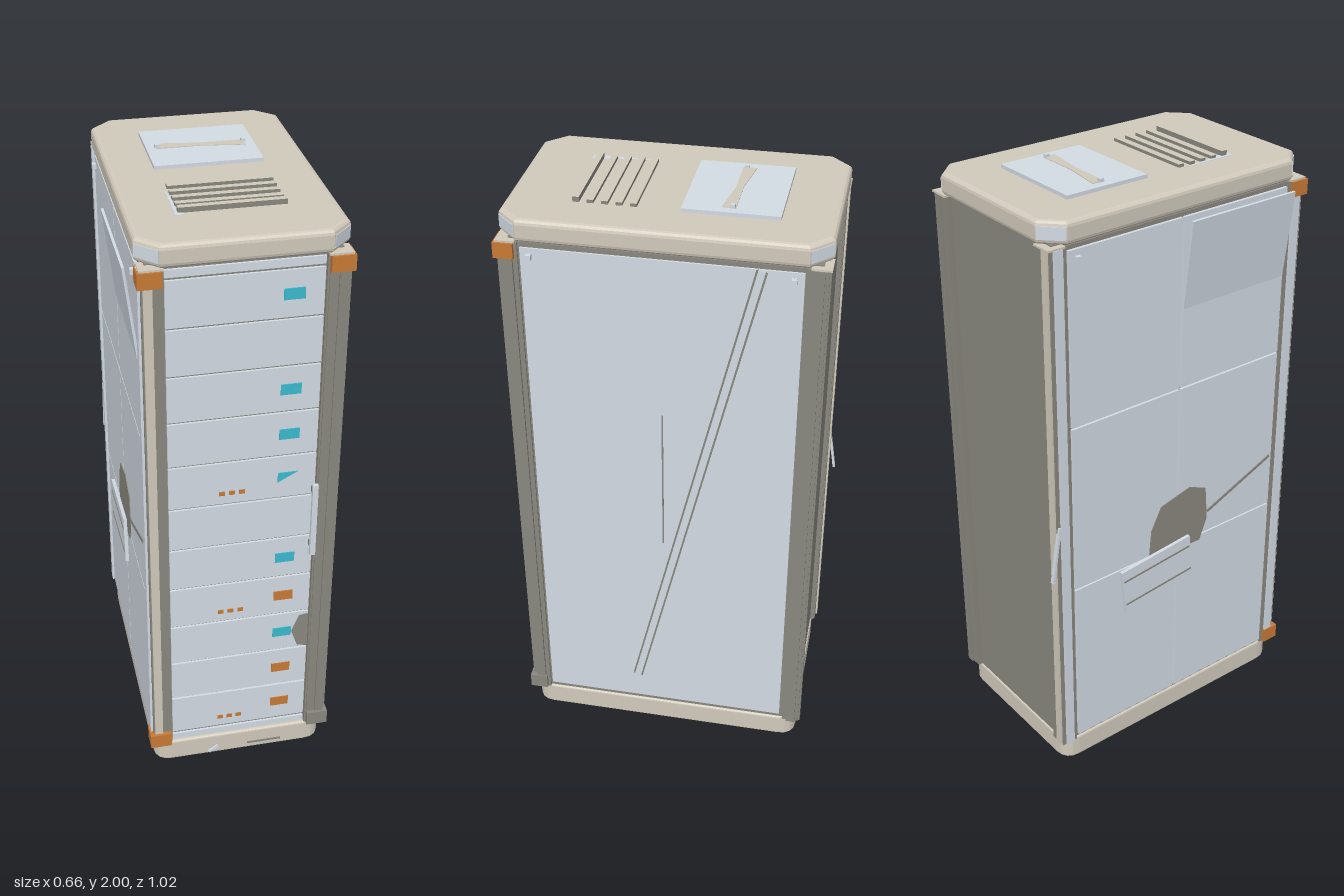
import * as THREE from 'three';

const mat = (name, hex) => {
  const m = new THREE.MeshStandardMaterial({ color: hex });
  m.name = name;
  return m;
};

export function createModel() {
  const beige = mat('warm beige', 0xd1cabc);
  const blue = mat('pale blue grey', 0xd3dbe4);
  const taupe = mat('dark taupe', 0x8a887f);
  const orange = mat('burnt orange', 0xc87a35);
  const cyan = mat('cyan', 0x3cbbd1);

  const model = new THREE.Group();
  model.name = 'serverCabinet';

  const add = (name, geo, material, parent = model) => {
    const m = new THREE.Mesh(geo, material);
    m.name = name;
    parent.add(m);
    return m;
  };
  // Box given by its limits on each axis
  const box = (name, material, [x0, x1], [y0, y1], [z0, z1], parent) => {
    const m = add(name, new THREE.BoxGeometry(x1 - x0, y1 - y0, z1 - z0), material, parent);
    m.position.set((x0 + x1) / 2, (y0 + y1) / 2, (z0 + z1) / 2);
    return m;
  };
  // Thin plate cut from an outline
  const plate = (name, material, points, depth, parent) => {
    const s = new THREE.Shape(points.map(p => new THREE.Vector2(...p)));
    return add(name, new THREE.ExtrudeGeometry(s, { depth, bevelEnabled: false }), material, parent);
  };
  // Upright slab with cut or rounded corners and bevelled rims
  const slab = (name, material, [x0, x1], [y0, y1], [z0, z1], r, bevel, curveSegments) => {
    const a = (x1 - x0) / 2 - bevel, b = (z1 - z0) / 2 - bevel;
    const s = new THREE.Shape();
    s.moveTo(-a + r, -b);
    s.lineTo(a - r, -b);
    s.quadraticCurveTo(a, -b, a, -b + r);
    s.lineTo(a, b - r);
    s.quadraticCurveTo(a, b, a - r, b);
    s.lineTo(-a + r, b);
    s.quadraticCurveTo(-a, b, -a, b - r);
    s.lineTo(-a, -b + r);
    s.quadraticCurveTo(-a, -b, -a + r, -b);
    const g = new THREE.ExtrudeGeometry(s, {
      depth: y1 - y0 - 2 * bevel, bevelSize: bevel, bevelThickness: bevel, bevelSegments: 3, curveSegments,
    });
    g.rotateX(-Math.PI / 2);
    g.translate((x0 + x1) / 2, y0 + bevel, (z0 + z1) / 2);
    return add(name, g, material);
  };

  // Plinth, core and roof cap
  box('footPlate', beige, [-0.25, 0.27], [0, 0.01], [-0.44, 0.44]);
  slab('plinth', beige, [-0.285, 0.305], [0.006, 0.09], [-0.47, 0.478], 0.05, 0.008, 4);
  slab('roofCap', beige, [-0.3, 0.32], [1.905, 1.977], [-0.49, 0.49], 0.055, 0.016, 1);
  box('core', taupe, [-0.275, 0.295], [0.085, 1.91], [-0.465, 0.455]);
  box('plinthScuff', taupe, [0.04, 0.16], [0.028, 0.036], [0.476, 0.48]);
  box('plinthLatch', blue, [-0.1, -0.06], [0.025, 0.035], [0.476, 0.484]).rotation.z = 0.6;

  // Corner posts: a taupe channel with lighter rails along its faces
  for (const sx of [-1, 1]) for (const sz of [-1, 1]) {
    const post = new THREE.Group();
    post.name = (sz > 0 ? 'front' : 'back') + (sx > 0 ? 'Left' : 'Right') + 'Post';
    model.add(post);
    const X = (a, b) => [0.01 + sx * a, 0.01 + sx * b].sort((p, q) => p - q);
    const Z = (a, b) => [sz * a, sz * b].sort((p, q) => p - q);
    const Y = [0.09, 1.9];
    box('channel', taupe, X(0.24, 0.3), Y, Z(0.425, 0.482), post);
    box('sideRail', sx < 0 ? blue : taupe, X(0.295, 0.308), Y, Z(0.44, 0.47), post);
    box('edgeRail', sx < 0 ? beige : taupe, X(0.268, 0.295), Y, Z(0.478, 0.488), post);
    box('innerRail', taupe, X(0.234, 0.242), Y, Z(0.45, 0.478), post);
    box('postTop', beige, X(0.235, 0.306), [1.9, 1.906], Z(0.43, 0.49), post);
    // Pale guard on the cut corner of the roof cap
    const guard = box('capCornerGuard', blue, [-0.042, 0.042], [1.922, 1.961], [-0.002, 0.002], post);
    guard.position.x = 0.01 + sx * 0.278;
    guard.position.z = sz * 0.458;
    guard.rotation.y = sx * sz * Math.PI / 4;
    if (sz > 0) {
      // Corner brackets
      box('topBracket', orange, X(0.24, 0.312), [1.85, 1.9], Z(0.435, 0.496), post);
      box('bottomBracket', sx < 0 ? orange : taupe, X(0.24, 0.312), [0.092, 0.146], Z(0.435, 0.496), post);
    }
  }
  box('looseFin', blue, [-0.298, -0.284], [0.785, 0.985], [-0.494, -0.486]).rotation.x = 0.15;

  // Front bay: eleven stacked units with seams between them
  const front = new THREE.Group();
  front.name = 'frontBay';
  model.add(front);
  const y0 = 0.13, pitch = 0.1577;
  const lamps = [orange, orange, cyan, orange, cyan, null, null, cyan, cyan, null, cyan];
  box('bayBack', taupe, [-0.228, 0.244], [0.095, 1.9], [0.45, 0.466], front);
  box('bayHeader', blue, [-0.222, 0.24], [1.87, 1.895], [0.46, 0.474], front);
  box('baySill', blue, [-0.222, 0.24], [0.098, 0.122], [0.46, 0.474], front);
  for (let i = 0; i < 11; i++) {
    const y = y0 + i * pitch;
    box('unitFace', blue, [-0.222, 0.24], [y + 0.004, y + pitch - 0.004], [0.46, 0.474], front);
    if (lamps[i])
      box('statusLamp', lamps[i], [0.12, 0.183], [y + 0.061, y + 0.097], [0.472, 0.477], front);
    if (i === 0 || i === 3 || i === 6)
      for (const x of [-0.056, -0.024, 0.008])
        box('indicatorDot', orange, [x - 0.009, x + 0.009], [y + 0.036, y + 0.05], [0.472, 0.477], front);
  }
  // Half-covered lamp and a worn patch on the hinge side
  plate('halfLamp', cyan, [[0.12, 1.138], [0.183, 1.172], [0.12, 1.172]], 0.005, front).position.z = 0.472;
  plate('wornPatch', taupe, [[0.24, 0.45], [0.24, 0.59], [0.21, 0.585], [0.185, 0.52], [0.205, 0.46]], 0.006, front)
    .position.z = 0.472;
  // Door handle
  box('handleGrip', blue, [0.225, 0.243], [0.86, 1.13], [0.495, 0.508], front);
  for (const y of [0.88, 1.09]) box('handleMount', taupe, [0.228, 0.24], [y, y + 0.02], [0.47, 0.497], front);

  // Left side: one large panel with a diagonal brace
  const left = new THREE.Group();
  left.name = 'leftSide';
  model.add(left);
  box('panelFrame', taupe, [0.29, 0.303], [0.095, 1.9], [-0.425, 0.425], left);
  box('sidePanel', blue, [0.295, 0.309], [0.112, 1.885], [-0.414, 0.418], left);
  box('panelSlit', taupe, [0.305, 0.31], [0.84, 1.35], [-0.0025, 0.0025], left);
  const brace = new THREE.Group();
  brace.name = 'diagonalBrace';
  brace.position.set(0.309, 1.05, -0.098);
  brace.rotation.x = -Math.atan2(0.39, 1.67);
  left.add(brace);
  const len = 0.855;
  box('braceStrip', blue, [-0.003, 0.003], [-len, len], [-0.018, 0.018], brace);
  for (const z of [-0.014, 0.014])
    box('braceLine', taupe, [-0.003, 0.004], [-len, len], [z - 0.003, z + 0.003], brace);
  for (const z of [-0.385, 0.39]) box('panelBolt', blue, [0.305, 0.324], [1.852, 1.868], [z - 0.008, z + 0.008], left);

  // Right side: two columns of three plates
  const right = new THREE.Group();
  right.name = 'rightSide';
  model.add(right);
  box('plateBacking', taupe, [-0.283, -0.27], [0.095, 1.9], [-0.425, 0.425], right);
  const rows = [0.105, 0.72, 1.315, 1.89];
  for (let r = 0; r < 3; r++) for (const z of [[-0.418, -0.003], [0.003, 0.418]])
    box('sidePlate', blue, [-0.293, -0.28], [rows[r] + 0.003, rows[r + 1] - 0.003], z, right);
  // Skin of the top front plate, peeling outward
  box('peeledSkin', blue, [-0.314, -0.306], [1.59, 1.885], [0.004, 0.415], right).rotation.z = 0.12;
  // Breach in the plates, with a loose cover below it
  const breach = plate('breach', taupe,
    [[-0.12, 0.7], [0.1, 0.7], [0.13, 0.78], [0.12, 0.9], [0.05, 0.93], [-0.07, 0.9], [-0.11, 0.82]], 0.004, right);
  breach.rotation.y = -Math.PI / 2;
  breach.position.x = -0.292;
  const cover = new THREE.Group();
  cover.name = 'looseCover';
  cover.position.set(-0.302, 0.645, -0.09);
  cover.rotation.x = -0.1;
  right.add(cover);
  box('coverPlate', blue, [-0.006, 0.006], [-0.085, 0.085], [-0.145, 0.145], cover);
  for (const y of [-0.05, 0.045]) box('coverSeam', taupe, [-0.008, 0], [y - 0.003, y + 0.003], [-0.14, 0.14], cover);
  box('crack', taupe, [-0.296, -0.29], [0.856, 0.866], [0.12, 0.42], right).rotation.x = -0.4;
  for (const z of [-0.39, 0.39]) box('plateBolt', blue, [-0.306, -0.29], [1.852, 1.868], [z - 0.008, z + 0.008], right);

  // Roof hatch with its strap and two studs
  box('roofHatch', blue, [-0.16, 0.18], [1.972, 1.989], [-0.325, -0.033]);
  const strap = plate('hatchStrap', beige,
    [[-0.128, 0.168], [0.01, 0.168], [0.15, 0.148], [0.15, 0.19], [0.01, 0.19], [-0.128, 0.21]], 0.003);
  strap.rotation.x = -Math.PI / 2;
  strap.position.y = 1.988;
  for (const x of [-0.126, 0.147]) box('hatchStud', blue, [x - 0.007, x + 0.007], [1.985, 2], [-0.187, -0.173]);

  // Roof vent slats, beige on top with dark sides, and a pale sliver beside them
  const slatMats = [taupe, taupe, beige, taupe, taupe, taupe];
  for (let i = 0; i < 5; i++) {
    const z = 0.108 + i * 0.043;
    box('ventSlat', slatMats, [-0.148, 0.172], [1.972, i === 4 ? 1.993 : 1.987], [z - 0.01, z + 0.01]);
  }
  const sliver = plate('ventSliver', blue, [[-0.158, -0.11], [-0.158, -0.305], [-0.132, -0.305]], 0.002);
  sliver.rotation.x = -Math.PI / 2;
  sliver.position.y = 1.976;
  return model;
}
